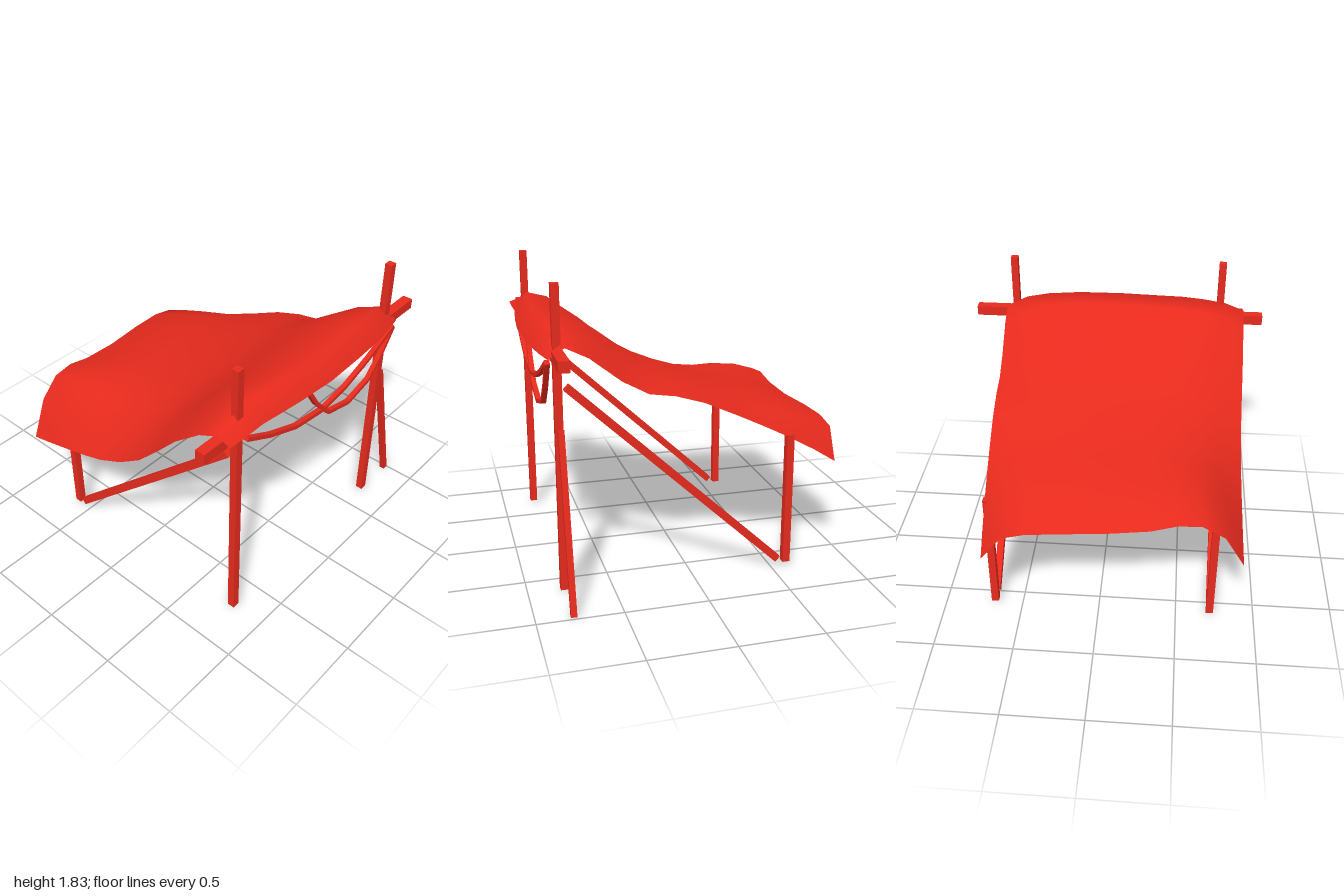
import * as THREE from 'three';

const { lerp } = THREE.MathUtils;
const red = new THREE.MeshStandardMaterial({ color: 0xe62a1d, side: THREE.DoubleSide });
red.name = 'red';

// Square timber running from a to b
function beam(name, a, b, width, depth = width) {
  const from = new THREE.Vector3(...a), to = new THREE.Vector3(...b);
  const dir = to.clone().sub(from);
  const mesh = new THREE.Mesh(new THREE.BoxGeometry(width, dir.length(), depth), red);
  mesh.name = name;
  mesh.position.copy(from).add(to).multiplyScalar(0.5);
  mesh.quaternion.setFromUnitVectors(new THREE.Vector3(0, 1, 0), dir.normalize());
  return mesh;
}

// Slack rope of short straight lengths, hung just in front of the crossbar
function rope(name, points) {
  const group = new THREE.Group();
  group.name = name;
  for (let i = 1; i < points.length; i++) {
    group.add(beam('ropeLength', [...points[i - 1], 0.845], [...points[i], 0.845], 0.024, 0.03));
  }
  return group;
}

// Draped sheet: rows run front to back, columns right to left
function makeCanopy() {
  // z and y on the middle line, y at the right edge, y at the left edge, breadth of the side slopes
  const rows = [
    [0.92, 1.437, 1.46, 1.425, 1],
    [0.825, 1.574, 1.49, 1.485, 0.4],
    [0.69, 1.562, 1.43, 1.42, 0.6],
    [0.5, 1.467, 1.285, 1.275, 0.9],
    [0.34, 1.347, 1.125, 1.19, 1],
    [0.18, 1.262, 0.975, 1.165, 1],
    [0, 1.192, 0.86, 1.11, 0.95],
    [-0.2, 1.117, 0.77, 1.02, 0.8],
    [-0.37, 1.065, 0.72, 0.94, 0.63],
    [-0.55, 1.022, 0.675, 0.85, 0.42],
    [-0.74, 0.95, 0.63, 0.745, 0.18],
    [-0.885, 0.878, 0.6, 0.655, 0],
  ];
  // Position across, share of the edge drop (narrow and broad slope), z of front and back hem
  const columns = [
    [-1, 1, 1, 0.88, -0.78],
    [-0.84, 0.18, 0.7, 0.88, -0.81],
    [-0.66, -0.18, 0.48, 0.875, -0.835],
    [-0.48, -0.21, 0.33, 0.89, -0.85],
    [-0.28, -0.07, 0.2, 0.905, -0.862],
    [0.03, 0, 0.08, 0.92, -0.878],
    [0.38, 0, 0, 0.91, -0.905],
    [0.65, 0.03, 0.25, 0.895, -0.92],
    [0.83, 0.18, 0.6, 0.875, -0.925],
    [1, 1, 1, 0.845, -0.905],
  ];
  const positions = [], index = [], n = columns.length;
  rows.forEach(([zMid, yMid, yRight, yLeft, breadth], r) => {
    const t = (zMid + 0.885) / 1.805;
    const right = -0.885 + 0.015 * t;
    const left = 0.67 + 0.13 * t - 0.06 * t * t;
    columns.forEach(([u, narrow, broad, front, back], c) => {
      const edge = u < 0.2 ? yRight : yLeft;
      positions.push(
        lerp(right, left, (u + 1) / 2),
        lerp(yMid, edge, lerp(narrow, broad, breadth)),
        lerp(back, front, t));
      if (r && c) {
        const d = r * n + c, e = d - n;
        index.push(e - 1, d - 1, e, e, d - 1, d);
      }
    });
  });
  // Rows run towards -z, so reverse the corner order to face up
  const geometry = new THREE.BufferGeometry();
  geometry.setAttribute('position', new THREE.Float32BufferAttribute(positions, 3));
  geometry.setIndex(index.reverse());
  geometry.computeVertexNormals();
  const mesh = new THREE.Mesh(geometry, red);
  mesh.name = 'canopy';
  return mesh;
}

export function createModel() {
  const model = new THREE.Group();
  model.name = 'shelter';

  // Posts and long diagonal braces on each side
  for (const [side, x, xBack] of [['right', -0.712, -0.718], ['left', 0.677, 0.677]]) {
    model.add(
      beam(side + 'FrontPost', [x, 0.03, 0.79], [x, 1.83, 0.79], 0.046),
      beam(side + 'BackPost', [xBack, 0.03, -0.597], [xBack, 0.86, -0.597], 0.046),
      beam(side + 'Brace', [xBack, 1.25, 0.742], [xBack, 0.053, -0.54], 0.044));
  }

  // Crossbar and outward prop
  model.add(
    beam('crossbar', [-1, 1.434, 0.79], [0.952, 1.434, 0.79], 0.064),
    beam('sideProp', [0.724, 1.02, 0.786], [0.979, 0.008, 0.786], 0.035));

  // Hanging ropes
  model.add(
    rope('wideRope', [[-0.7, 1.395], [-0.5, 1.295], [-0.26, 1.205], [0, 1.172], [0.22, 1.21], [0.45, 1.29], [0.7, 1.405]]),
    rope('deepRope', [[-0.165, 1.4], [-0.075, 1.26], [0.06, 1.115], [0.27, 1.065], [0.48, 1.12], [0.59, 1.24], [0.7, 1.4]]));

  model.add(makeCanopy());
  return model;
}
